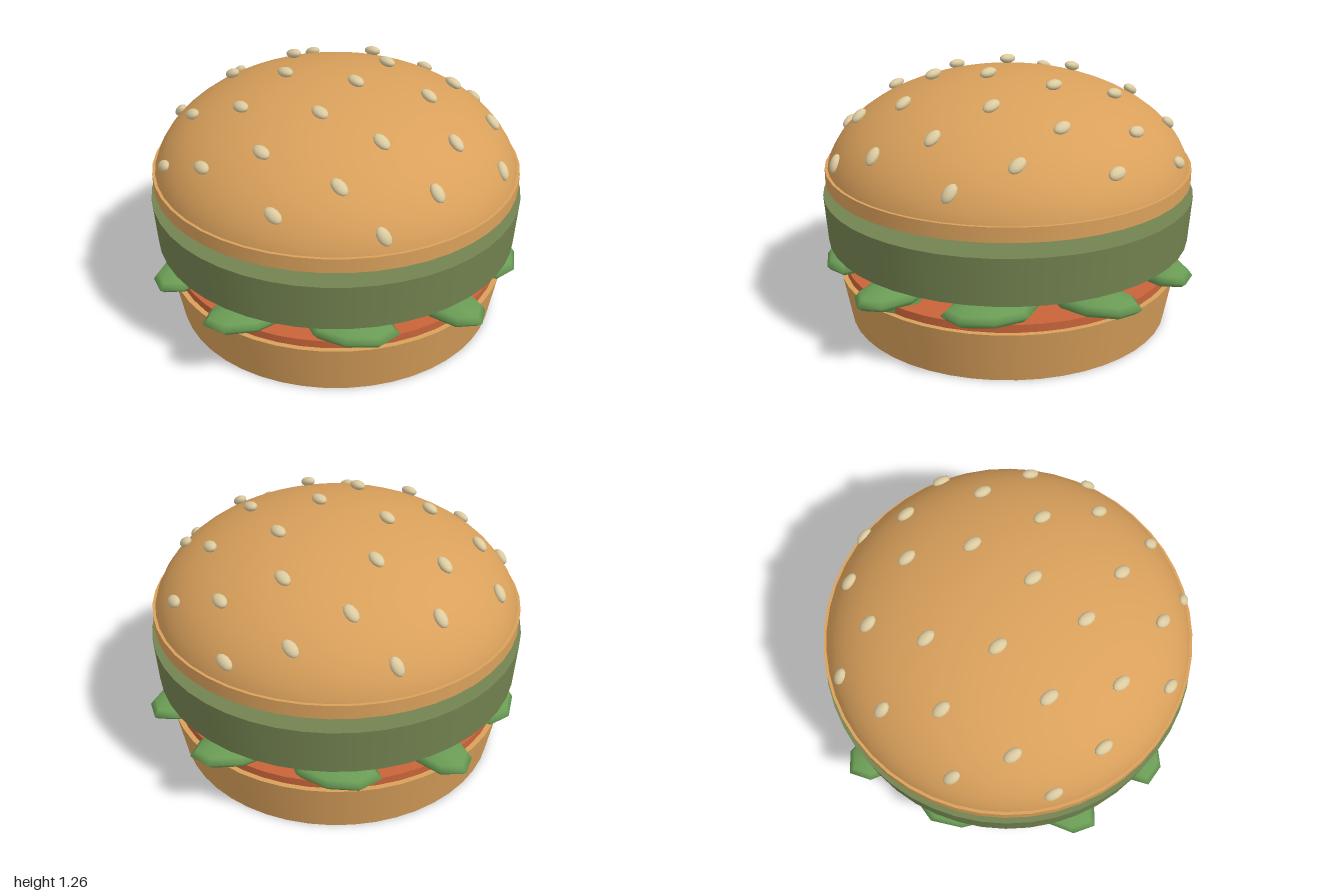
import * as THREE from 'three';

const mat = (name, color) => {
  const m = new THREE.MeshStandardMaterial({ color });
  m.name = name;
  return m;
};

export function createModel() {
  const burger = new THREE.Group();
  burger.name = 'burger';
  const bun = mat('toasted bun', 0xd9a05b);
  const pattyGreen = mat('olive patty', 0x738350);
  const leaf = mat('leaf green', 0x6a9c55);
  const tomato = mat('tomato red', 0xc8643a);
  const sesame = mat('sesame cream', 0xdccba0);

  const add = (name, geometry, material, x = 0, y = 0, z = 0) => {
    const mesh = new THREE.Mesh(geometry, material);
    mesh.name = name;
    mesh.position.set(x, y, z);
    burger.add(mesh);
    return mesh;
  };
  // Round layer between two heights
  const layer = (name, rTop, rBottom, y0, y1, material, x = 0, z = 0, sides = 48) =>
    add(name, new THREE.CylinderGeometry(rTop, rBottom, y1 - y0, sides), material, x, (y0 + y1) / 2, z);

  // Stacked layers
  layer('bottomBun', 0.845, 0.8, 0, 0.25, bun);
  layer('tomatoBase', 0.82, 0.82, 0.25, 0.288, tomato);
  layer('patty', 0.91, 0.895, 0.415, 0.645, pattyGreen);
  layer('topBunRim', 0.895, 0.895, 0.71, 0.78, bun);

  // Small tomato slices tucked under the patty
  [[-0.34, 0.05], [0, 0], [0.34, -0.05]].forEach(([x, z]) =>
    layer('tomatoSlice', 0.22, 0.22, 0.374, 0.42, tomato, x, z, 16));

  // Pickle stubs on both sides
  for (const side of [-1, 1]) layer('pickle', 0.105, 0.105, 0.25, 0.42, leaf, side * 0.73, 0, 8);

  // Ring of faceted lettuce leaves
  const leafGeometry = new THREE.SphereGeometry(1, 8, 6);
  for (let i = 0; i < 10; i++) {
    const a = (i * Math.PI) / 5;
    const m = add('lettuceLeaf', leafGeometry, leaf, 0.78 * Math.cos(a), 0.333, 0.78 * Math.sin(a));
    m.scale.set(0.22, 0.052, 0.13);
    m.rotation.y = a;
  }

  // Domed top bun
  const dome = add('topBunDome', new THREE.SphereGeometry(1, 48, 20, 0, Math.PI * 2, 0, Math.PI / 2), bun, 0, 0.71, 0);
  dome.scale.set(0.89, 0.51, 0.89);

  // Sesame seeds in a golden-angle spiral, lying flat on the dome
  const seedGeometry = new THREE.SphereGeometry(1, 12, 8);
  const up = new THREE.Vector3(0, 1, 0);
  for (let i = 0; i < 30; i++) {
    const c = 1 - 0.0248 * (i + 0.5);
    const s = Math.sqrt(1 - c * c);
    const a = THREE.MathUtils.degToRad(i * 137.508);
    const nx = s * Math.cos(a), nz = s * Math.sin(a);
    const seed = add('sesameSeed', seedGeometry, sesame, 0.89 * nx, 0.71 + 0.535 * c, 0.89 * nz);
    seed.scale.set(0.048, 0.023, 0.03);
    seed.quaternion.setFromUnitVectors(up, new THREE.Vector3(nx / 0.89, c / 0.51, nz / 0.89).normalize());
  }

  // Underside of the top bun
  const base = add('topBunBase', new THREE.CircleGeometry(0.89, 48), bun, 0, 0.7095, 0);
  base.rotation.x = Math.PI / 2;
  return burger;
}
